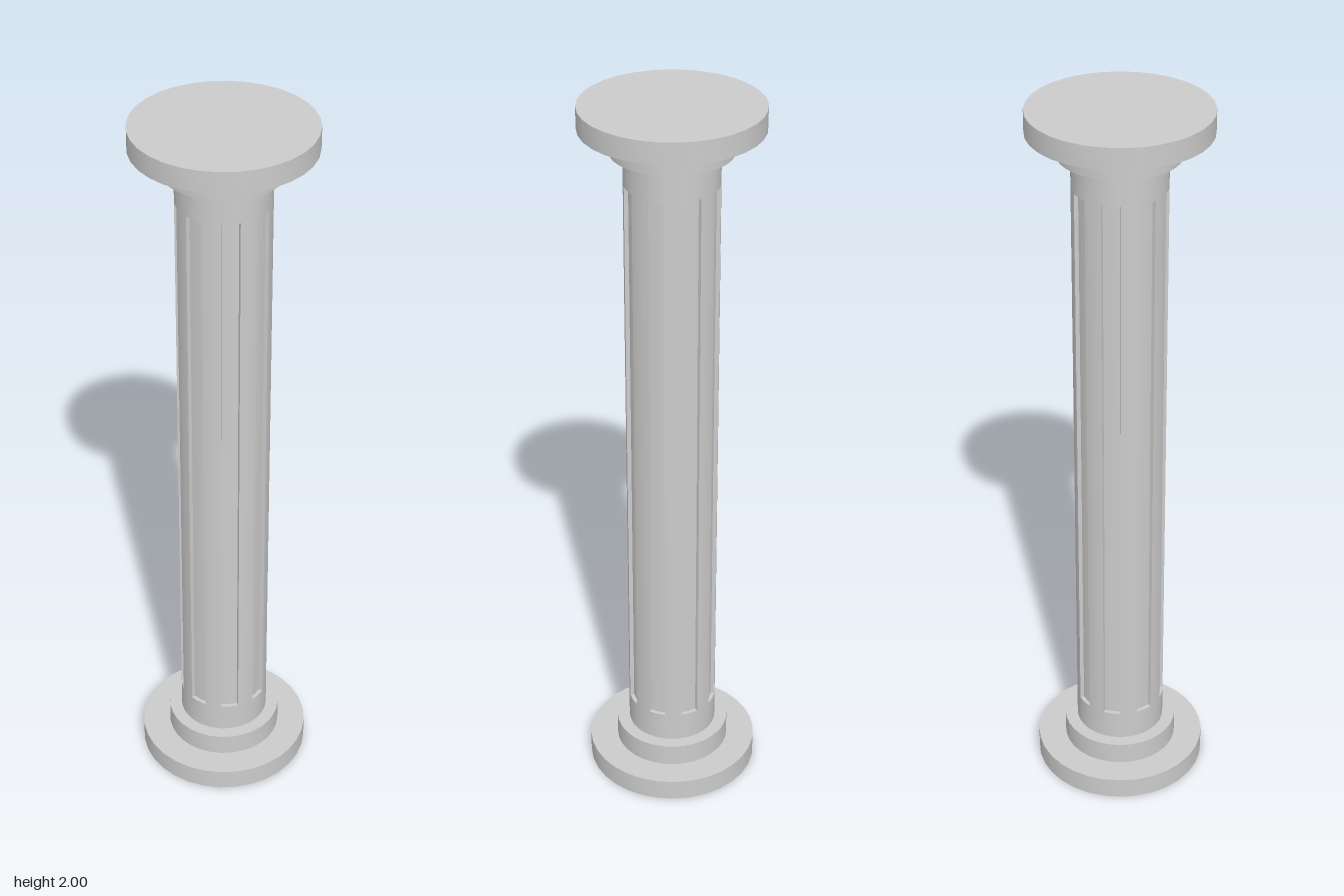
import * as THREE from 'three';
import { toCreasedNormals } from 'three/addons/utils/BufferGeometryUtils.js';

const SEGMENTS = 32;
const R_PLATE = 0.236, R_STEP = 0.158, R_SHAFT = 0.123;
const R_FLUTE = 0.112; // radius at the floor of a flute
const SHAFT_Y0 = 0.125, FLUTE_Y0 = 0.21, FLUTE_Y1 = 1.795, SHAFT_Y1 = 1.88;

const material = new THREE.MeshStandardMaterial({ color: 0xcccccc, side: THREE.DoubleSide });

function makeMesh(name, geometry) {
  const mesh = new THREE.Mesh(toCreasedNormals(geometry, Math.PI / 6), material);
  mesh.name = name;
  return mesh;
}

function turned(name, profile) {
  const points = profile.map(([r, y]) => new THREE.Vector2(r, y));
  return makeMesh(name, new THREE.LatheGeometry(points, SEGMENTS));
}

// Round shaft with eight sunken flutes, each two segments wide
function flutedShaft() {
  const positions = [];
  const at = (i, r, y) => {
    const a = (i / SEGMENTS) * Math.PI * 2;
    return [r * Math.sin(a), y, r * Math.cos(a)];
  };
  const quad = (a, b, c, d) => positions.push(...a, ...b, ...c, ...a, ...c, ...d);
  // Ring strip of one segment between two (radius, height) levels
  const strip = (i, r0, y0, r1, y1) =>
    quad(at(i, r0, y0), at(i + 1, r0, y0), at(i + 1, r1, y1), at(i, r1, y1));
  // Side wall of a flute, running from radius r0 to r1
  const wall = (i, r0, r1) =>
    quad(at(i, r0, FLUTE_Y0), at(i, r1, FLUTE_Y0), at(i, r1, FLUTE_Y1), at(i, r0, FLUTE_Y1));

  for (let i = 0; i < SEGMENTS; i++) {
    const k = i % 4;
    const sunken = k === 1 || k === 2;
    const r = sunken ? R_FLUTE : R_SHAFT;
    strip(i, R_SHAFT, SHAFT_Y0, R_SHAFT, FLUTE_Y0);
    strip(i, r, FLUTE_Y0, r, FLUTE_Y1);
    strip(i, R_SHAFT, FLUTE_Y1, R_SHAFT, SHAFT_Y1);
    if (sunken) {
      strip(i, R_SHAFT, FLUTE_Y0, R_FLUTE, FLUTE_Y0);
      strip(i, R_FLUTE, FLUTE_Y1, R_SHAFT, FLUTE_Y1);
    }
    if (k === 1) wall(i, R_SHAFT, R_FLUTE);
    if (k === 3) wall(i, R_FLUTE, R_SHAFT);
  }
  const geometry = new THREE.BufferGeometry();
  geometry.setAttribute('position', new THREE.Float32BufferAttribute(positions, 3));
  return makeMesh('shaft', geometry);
}

export function createModel() {
  const column = new THREE.Group();
  column.name = 'column';

  // Stepped base, hollow and open underneath
  column.add(turned('base', [
    [R_PLATE, 0], [R_PLATE, 0.061], [R_STEP, 0.061], [R_STEP, SHAFT_Y0], [R_SHAFT, SHAFT_Y0],
  ]));

  column.add(flutedShaft());

  // Stepped capital, closed on top
  column.add(turned('capital', [
    [R_SHAFT, SHAFT_Y1], [R_STEP, SHAFT_Y1], [R_STEP, 1.942], [R_PLATE, 1.942], [R_PLATE, 2], [0, 2],
  ]));

  return column;
}
